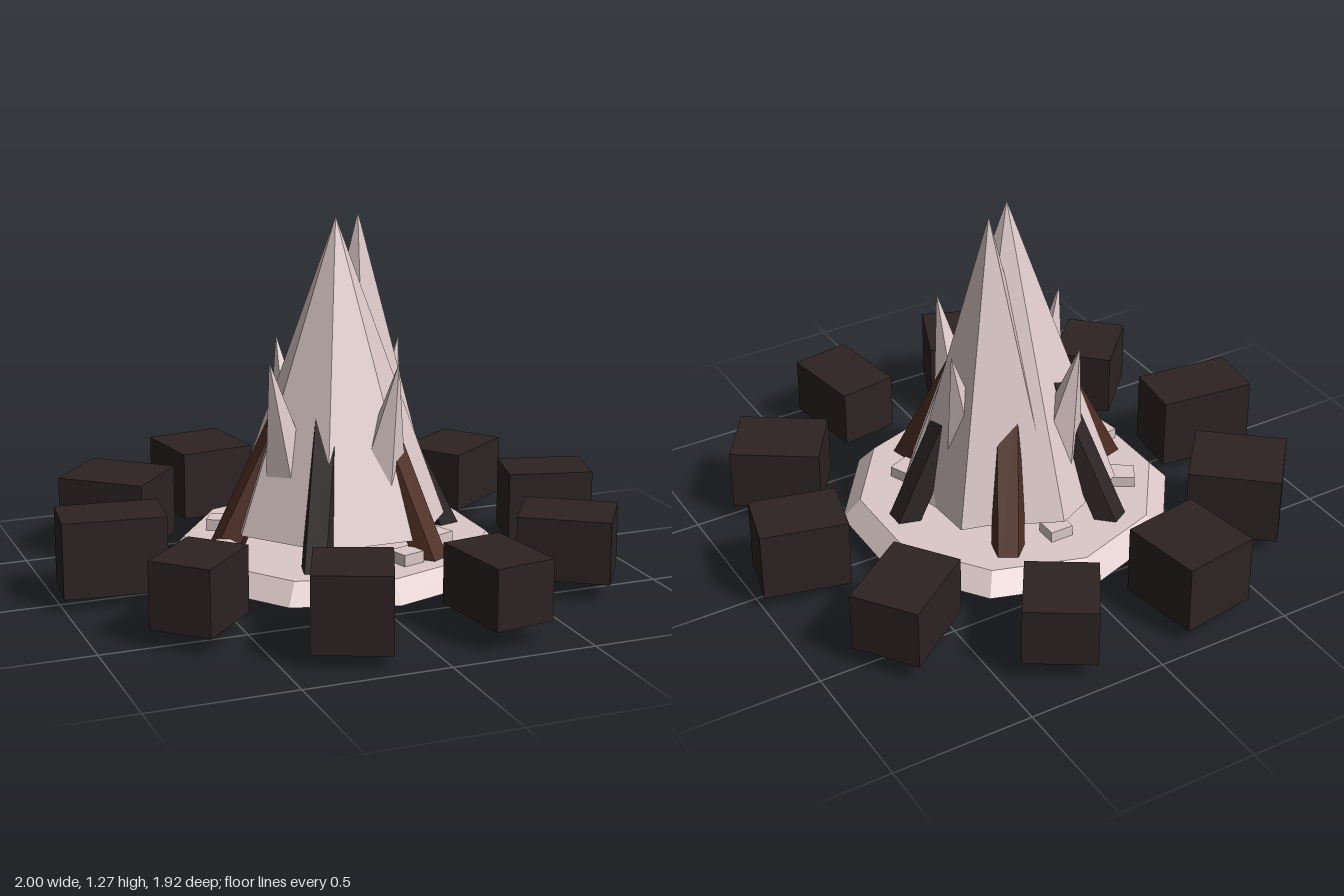
import * as THREE from 'three';

export function createModel() {
  const model = new THREE.Group();
  model.name = 'campfire';

  const material = (name, color) => {
    const m = new THREE.MeshStandardMaterial({ color, flatShading: true });
    m.name = name;
    return m;
  };
  const ash = material('pale ash', 0xdcc8c8);
  const stone = material('dark stone', 0x2d2323);
  const bark = material('brown bark', 0x4e2d22);
  const char = material('charred wood', 0x2c2424);

  const add = (name, geometry, mat, x, y, z, parent = model) => {
    const mesh = new THREE.Mesh(geometry, mat);
    mesh.name = name;
    mesh.position.set(x, y, z);
    parent.add(mesh);
    return mesh;
  };
  // A pivot turned about the fire's centre, so its +x points outward
  const spoke = (name, angle) => {
    const g = new THREE.Group();
    g.name = name;
    g.rotation.y = angle;
    model.add(g);
    return g;
  };

  // Ten-sided ash bed
  add('ashBed', new THREE.CylinderGeometry(0.535, 0.6, 0.07, 10), ash, 0, 0.105, 0);

  // Two tall flames
  add('mainFlame', new THREE.ConeGeometry(0.39, 1.07, 7), ash, 0, 0.735, 0).rotation.y = Math.PI;
  add('secondFlame', new THREE.ConeGeometry(0.285, 1.07, 5), ash, 0.11, 0.735, -0.07).rotation.y = 1;

  // Four small flames leaning outward
  const tongue = new THREE.ConeGeometry(0.095, 0.45, 5).translate(0, 0.225, 0);
  for (let i = 0; i < 4; i++) {
    const pivot = spoke('smallFlame', 0.39 + i * Math.PI / 2);
    add('flameTongue', tongue, ash, 0.215, 0.37, 0, pivot).rotation.z = -0.21;
  }

  // Six five-sided logs leaning in, alternately charred and brown
  const log = new THREE.CylinderGeometry(0.06, 0.06, 0.7, 5).rotateY(-Math.PI / 2).translate(0, 0.35, 0);
  for (let i = 0; i < 6; i++) {
    const pivot = spoke('log', i * Math.PI / 3);
    add('logBody', log, i % 2 ? bark : char, 0.46, 0.03, 0, pivot).rotation.z = 0.47;
  }

  // Small embers on the ash bed: x, z, turn
  const ember = new THREE.BoxGeometry(0.085, 0.05, 0.08);
  for (const [x, z, turn] of [
    [-0.445, 0.07, 0.15], [-0.36, -0.21, -0.55], [0.11, 0.38, 0.3], [0.015, -0.36, 0], [0.29, 0.22, 0.4],
  ]) add('ember', ember, ash, x, 0.155, z).rotation.y = turn;

  // Ring of stones: x, z, width, height, depth, turn
  for (const [x, z, w, h, d, turn] of [
    [-0.25, -0.785, 0.28, 0.25, 0.3, 0.15],
    [0.26, -0.785, 0.25, 0.21, 0.27, -0.57],
    [0.67, -0.485, 0.32, 0.215, 0.245, 0.62],
    [0.825, -0.005, 0.305, 0.25, 0.22, -0.25],
    [0.67, 0.475, 0.32, 0.22, 0.25, -0.59],
    [0.26, 0.775, 0.216, 0.21, 0.315, 0.15],
    [-0.245, 0.775, 0.26, 0.26, 0.285, -0.39],
    [-0.655, 0.475, 0.22, 0.23, 0.275, -0.78],
    [-0.815, -0.005, 0.355, 0.265, 0.215, -0.12],
    [-0.66, -0.49, 0.326, 0.25, 0.285, -0.71],
  ]) add('stone', new THREE.BoxGeometry(w, h, d), stone, x, 0.178, z).rotation.y = turn;

  return model;
}
